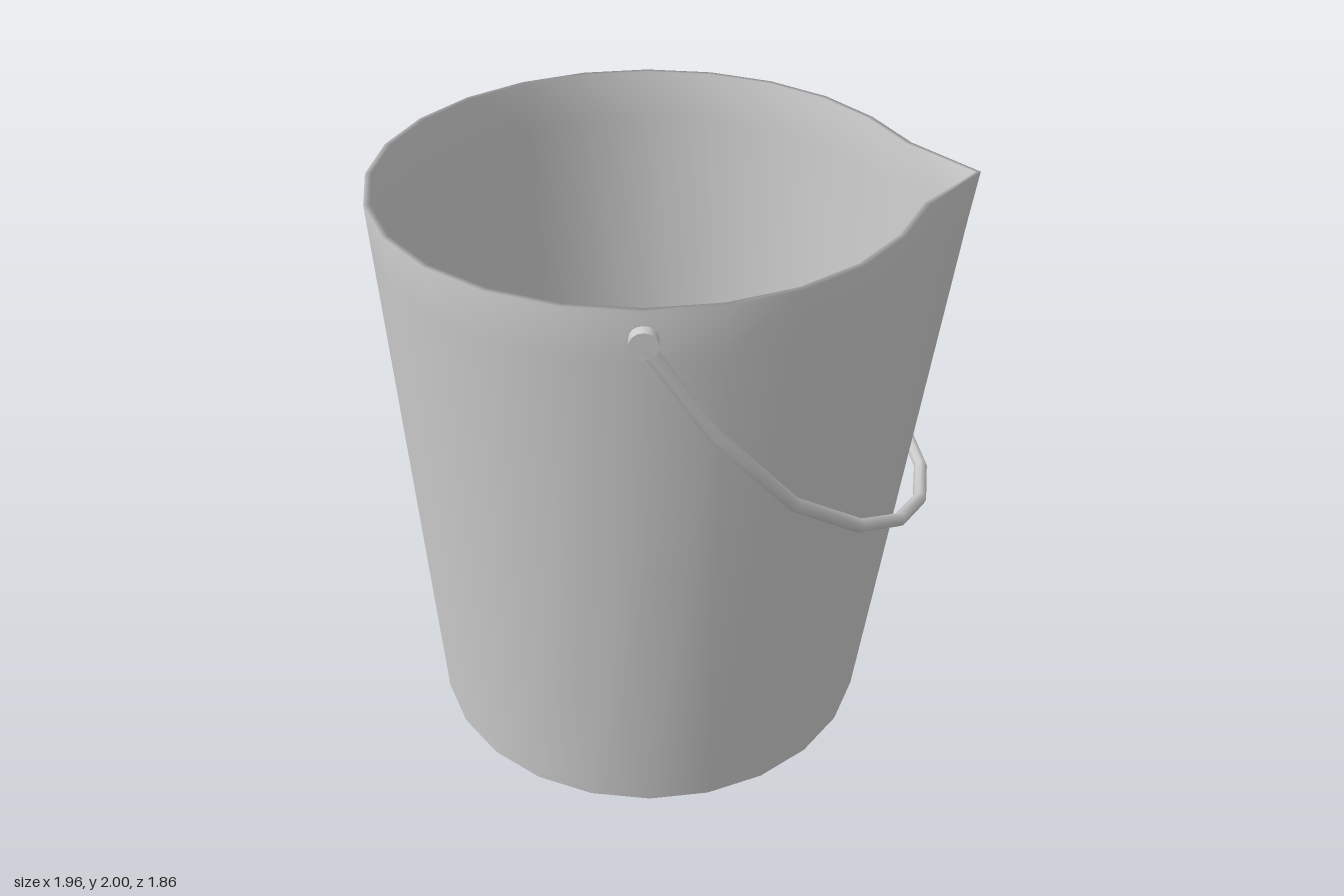
import * as THREE from 'three';

const SIDES = 24;
const AXIS_X = -0.09; // the bucket axis sits left of centre because of the spout
const RIM_BAND = 1.83;
const material = new THREE.MeshStandardMaterial({ color: 0xcccccc });

function part(name, geometry) {
  const mesh = new THREE.Mesh(geometry, material);
  mesh.name = name;
  return mesh;
}

// Tapered wall point: one corner is pulled out towards the top to form the spout
function wallPoint(k, y, inset) {
  const angle = (k / SIDES) * Math.PI * 2;
  const f = y / 2;
  const r = 0.782 + 0.108 * f - inset;
  const pull = k === 0 ? 0.175 : k === 1 || k === SIDES - 1 ? 0.015 : 0;
  return [AXIS_X + r * Math.cos(angle) + pull * f, y, r * Math.sin(angle)];
}

// Outer wall, rim and inner wall as one continuous skin
function wallGeometry() {
  const rings = [[0, 0], [RIM_BAND, 0], [2, 0], [2, 0.02], [RIM_BAND, 0.02], [0.02, 0.02]];
  const positions = [];
  const index = [];
  for (const [y, inset] of rings) {
    for (let k = 0; k < SIDES; k++) positions.push(...wallPoint(k, y, inset));
  }
  for (let j = 0; j < rings.length - 1; j++) {
    for (let k = 0; k < SIDES; k++) {
      const next = (k + 1) % SIDES;
      const a = j * SIDES + k, b = j * SIDES + next;
      const c = a + SIDES, d = b + SIDES;
      // diagonals mirror about the spout
      if (k < SIDES / 2) index.push(a, c, b, b, c, d);
      else index.push(a, c, d, a, d, b);
    }
  }
  const geometry = new THREE.BufferGeometry();
  geometry.setAttribute('position', new THREE.Float32BufferAttribute(positions, 3));
  geometry.setIndex(index);
  geometry.computeVertexNormals();
  return geometry;
}

function disc(name, radius, y, facing) {
  const mesh = part(name, new THREE.CircleGeometry(radius, SIDES).rotateX(-facing * Math.PI / 2));
  mesh.position.set(AXIS_X, y, 0);
  return mesh;
}

// Hanging bail: half of it is listed, the other half is mirrored in z
function handleGeometry() {
  const half = [
    [-0.085, 1.9, 0.905], [0.11, 1.6, 0.9], [0.355, 1.29, 0.81], [0.58, 1.09, 0.655],
    [0.74, 0.965, 0.46], [0.845, 0.885, 0.235], [0.883, 0.858, 0],
  ];
  const mirrored = half.slice(0, -1).reverse().map(([x, y, z]) => [x, y, -z]);
  const points = [...half, ...mirrored].map((p) => new THREE.Vector3(...p));
  const curve = new THREE.CatmullRomCurve3(points);
  // place the tube rings exactly on the listed points
  curve.getPointAt = (u, target) => curve.getPoint(u, target);
  curve.getTangentAt = (u, target) => curve.getTangent(u, target);
  return new THREE.TubeGeometry(curve, points.length - 1, 0.023, 8, false);
}

export function createModel() {
  const bucket = new THREE.Group();
  bucket.name = 'bucket';

  bucket.add(part('wall', wallGeometry()));
  bucket.add(disc('base', 0.782, 0, -1));
  bucket.add(disc('floor', 0.763, 0.02, 1));
  bucket.add(part('handle', handleGeometry()));

  // Pivot pins on both sides
  for (const side of [1, -1]) {
    const pin = part(side > 0 ? 'frontPin' : 'backPin', new THREE.CylinderGeometry(0.043, 0.043, 0.045, 16));
    pin.rotation.x = Math.PI / 2;
    pin.position.set(AXIS_X, 1.91, side * 0.902);
    bucket.add(pin);
  }
  return bucket;
}
